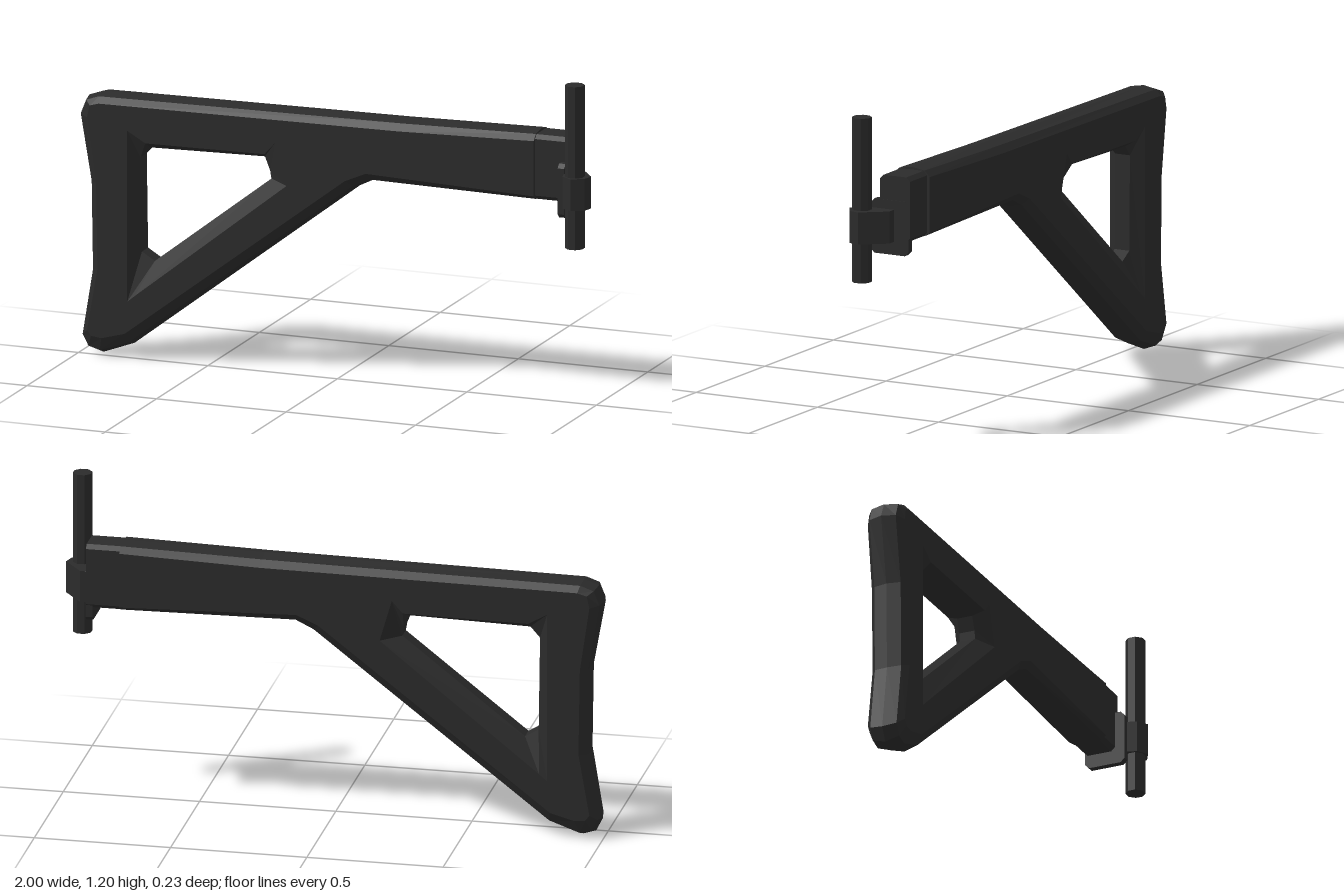
import * as THREE from 'three';

const CENTER_Z = -0.043;

// Outer outline, clockwise: x, y on the middle plane, then x, y on the bevelled side face
const OUTER = [
  [-1, 0.9, -0.955, 0.89], [-0.975, 0.955, -0.945, 0.935], [-0.92, 0.975, -0.91, 0.945],
  [0.25, 0.99, 0.25, 0.955], [0.77, 1, 0.77, 0.97], [0.77, 0.745, 0.77, 0.765],
  [0.13, 0.75, 0.12, 0.785], [0.07, 0.72, 0.04, 0.75], [-0.8, 0.05, -0.81, 0.1],
  [-0.92, 0.005, -0.9, 0.075], [-0.965, 0.02, -0.94, 0.08], [-0.99, 0.07, -0.955, 0.1],
  [-0.95, 0.32, -0.915, 0.33], [-0.955, 0.65, -0.92, 0.65],
];

// Triangular opening, counterclockwise, in the same form
const HOLE = [
  [-0.765, 0.75, -0.8, 0.855], [-0.76, 0.4, -0.8, 0.22], [-0.71, 0.37, -0.77, 0.245],
  [-0.26, 0.72, -0.185, 0.71], [-0.265, 0.75, -0.23, 0.865], [-0.285, 0.8, -0.27, 0.82],
  [-0.73, 0.79, -0.73, 0.815],
];

// z offset and blend from middle outline to side face
const OUTER_LEVELS = [[0.073, 1], [0.052, 0.28], [0, 0], [-0.052, 0.28], [-0.073, 1]];
const HOLE_LEVELS = [[0.073, 1], [0.03, 0], [-0.03, 0], [-0.073, 1]];

function stockGeometry() {
  const pos = [];
  const tri = (...points) => points.forEach((p) => pos.push(...p));

  // Walls between successive outlines
  const walls = (outline, levels) => {
    const rings = levels.map(([z, t]) => outline.map(([x, y, fx, fy]) =>
      [x + (fx - x) * t, y + (fy - y) * t, CENTER_Z + z]));
    for (let k = 0; k < rings.length - 1; k++) {
      outline.forEach((_, i) => {
        const j = (i + 1) % outline.length;
        const a = rings[k][i], b = rings[k][j], c = rings[k + 1][j], d = rings[k + 1][i];
        tri(a, b, c);
        tri(a, c, d);
      });
    }
  };
  walls(OUTER, OUTER_LEVELS);
  walls(HOLE, HOLE_LEVELS);

  // Flat side faces around the opening
  const face = (list) => list.map((p) => new THREE.Vector2(p[2], p[3]));
  const contour = face(OUTER), hole = face(HOLE);
  const all = [...contour, ...hole];
  for (const [a, b, c] of THREE.ShapeUtils.triangulateShape(contour, [hole])) {
    const [p, q, r] = [all[a], all[b], all[c]];
    const ccw = THREE.ShapeUtils.area([p, q, r]) > 0 ? [p, q, r] : [p, r, q];
    tri(...ccw.map((v) => [v.x, v.y, CENTER_Z + 0.073]));
    tri(...ccw.reverse().map((v) => [v.x, v.y, CENTER_Z - 0.073]));
  }

  const geo = new THREE.BufferGeometry();
  geo.setAttribute('position', new THREE.Float32BufferAttribute(pos, 3));
  geo.computeVertexNormals();
  return geo;
}

// Prism of a polygon
function prism(points, depth) {
  const shape = new THREE.Shape(points.map(([x, y]) => new THREE.Vector2(x, y)));
  return new THREE.ExtrudeGeometry(shape, { depth, bevelEnabled: false });
}

// Rectangle with cut corners, extruded along x; given by z and y ranges
function blockAlongX(x0, x1, z0, z1, y0, y1, c) {
  const points = [
    [-z1 + c, y0], [-z0 - c, y0], [-z0, y0 + c], [-z0, y1 - c],
    [-z0 - c, y1], [-z1 + c, y1], [-z1, y1 - c], [-z1, y0 + c],
  ];
  return prism(points, x1 - x0).rotateY(Math.PI / 2).translate(x0, 0, 0);
}

export function createModel() {
  const group = new THREE.Group();
  const black = new THREE.MeshStandardMaterial({ color: 0x2b2b2b, flatShading: true });
  black.name = 'matte black';
  const add = (name, geometry) => {
    const mesh = new THREE.Mesh(geometry, black);
    mesh.name = name;
    group.add(mesh);
    return mesh;
  };

  add('stockBody', stockGeometry());

  // Mounting end
  add('endBlock', blockAlongX(0.765, 0.895, -0.105, 0.018, 0.75, 0.99, 0.015));
  add('hingePlate', blockAlongX(0.872, 0.897, -0.1, 0.055, 0.7, 0.9, 0.015));

  // Hinge lug, outlined from above as x, -z
  const lug = [
    [0.89, 0.04], [0.93, 0.04], [1, -0.05], [0.99, -0.09],
    [0.945, -0.115], [0.905, -0.09], [0.895, -0.055],
  ].reverse();
  add('hingeLug', prism(lug, 0.118).rotateX(-Math.PI / 2).translate(0, 0.748, 0));

  // Hinge pin
  const pin = add('hingePin', new THREE.CylinderGeometry(0.036, 0.036, 0.605, 8).rotateY(Math.PI / 8));
  pin.position.set(0.943, 0.9025, 0.066);

  return group;
}
